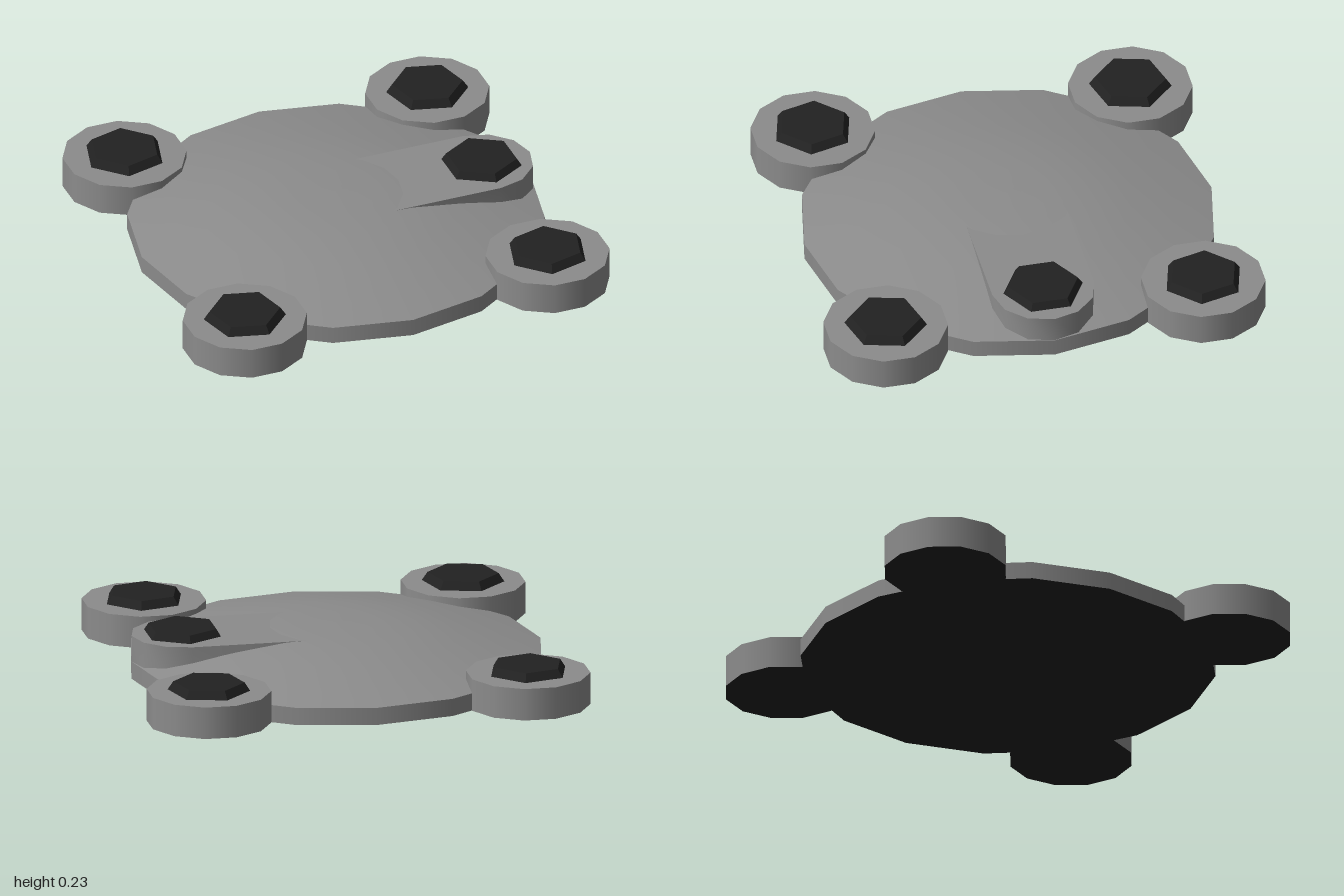
import * as THREE from 'three';
import { toCreasedNormals } from 'three/addons/utils/BufferGeometryUtils.js';

export function createModel() {
  const model = new THREE.Group();
  const shell = new THREE.MeshStandardMaterial({ color: 0x8c8c8c });
  const rubber = new THREE.MeshStandardMaterial({ color: 0x222222, flatShading: true });

  const add = (name, geometry, material, x = 0, y = 0, z = 0) => {
    const mesh = new THREE.Mesh(geometry, material);
    mesh.name = name;
    mesh.position.set(x, y, z);
    model.add(mesh);
    return mesh;
  };

  // Open wall with a dark underside
  const addWall = (name, radius, height, sides, x, z, turn) => {
    add(name + 'Wall', new THREE.CylinderGeometry(radius, radius, height, sides, 1, true, turn), shell, x, height / 2, z);
    add(name + 'Underside', new THREE.CircleGeometry(radius, sides, turn).rotateX(Math.PI / 2), rubber, x, 0, z);
  };

  // Bevelled six-sided pad
  const addPad = (name, x, y, z, turn) => {
    const pad = add(name, new THREE.CylinderGeometry(0.16, 0.19, 0.045, 6), rubber, x, y + 0.0125, z);
    pad.rotation.y = turn;
  };

  // Main disc with a shallow domed top
  addWall('disc', 0.936, 0.08, 16, 0, 0, 0);
  const dome = [[0.936, 0.08], [0.75, 0.125], [0.56, 0.164], [0.37, 0.196], [0.18, 0.207], [0, 0.21]];
  add('discDome', new THREE.LatheGeometry(dome.map(([r, y]) => new THREE.Vector2(r, y)), 16), shell);

  // Four corner bosses, each with a pad
  for (const sx of [-1, 1]) {
    for (const sz of [-1, 1]) {
      const name = (sz > 0 ? 'front' : 'back') + (sx > 0 ? 'Left' : 'Right');
      const x = sx * 0.73, z = sz * 0.73;
      addWall(name + 'Boss', 0.28, 0.147, 12, x, z, Math.PI / 12);
      add(name + 'BossTop', new THREE.CircleGeometry(0.28, 12, Math.PI / 12).rotateX(-Math.PI / 2), shell, x, 0.147, z);
      addPad(name + 'Pad', x, 0.15, z, sx * sz * Math.PI / 4);
    }
  }

  // Round-ended side platform that runs into the dome
  const outline = new THREE.Shape();
  outline.moveTo(0.15, -0.233);
  for (let i = 0; i <= 6; i++) {
    const a = -Math.PI / 2 + i * Math.PI / 6;
    outline.lineTo(0.702 + 0.233 * Math.cos(a), 0.233 * Math.sin(a));
  }
  outline.lineTo(0.15, 0.233);
  const platform = new THREE.ExtrudeGeometry(outline, { depth: 0.14, bevelEnabled: false });
  platform.rotateX(-Math.PI / 2);
  add('sidePlatform', toCreasedNormals(platform, 0.6), shell, 0, 0.06, 0);
  addPad('sidePad', 0.702, 0.198, 0, 0);

  return model;
}
